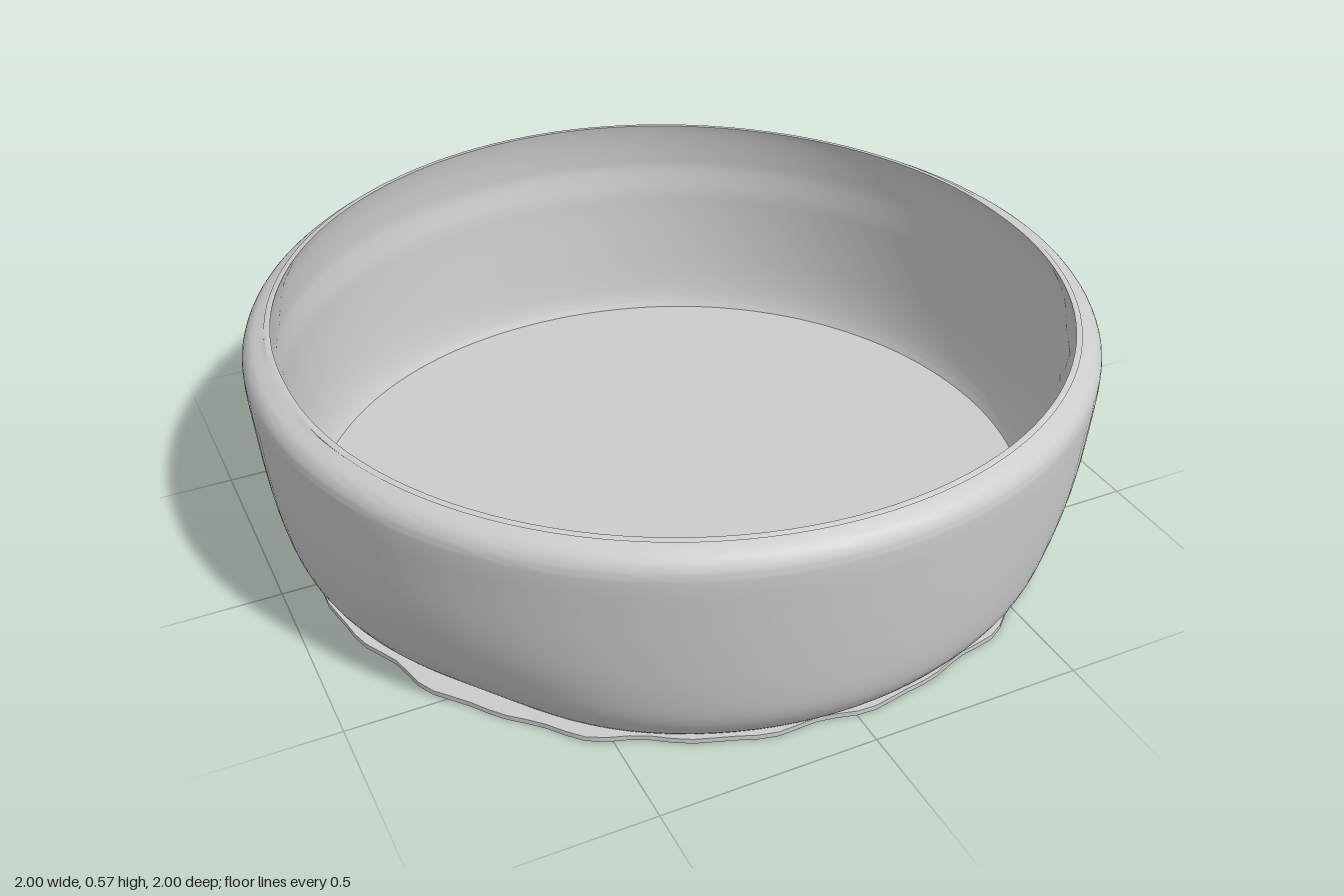
import * as THREE from 'three';
import { mergeVertices, toCreasedNormals } from 'three/addons/utils/BufferGeometryUtils.js';

const material = new THREE.MeshStandardMaterial({ color: 0xcccccc, side: THREE.DoubleSide });
const bump = (d, width) => Math.exp(-((d / width) ** 2));

// Lathe a profile, then push every vertex by a rule: (angle from front, height, radius) -> [radius, height]
function turned(name, profile, crease, rule) {
  let geo = new THREE.LatheGeometry(profile.map(([r, y]) => new THREE.Vector2(r, y)), 128);
  geo.deleteAttribute('normal');
  geo.deleteAttribute('uv');
  const p = geo.attributes.position;
  for (let i = 0; i < p.count; i++) {
    const r = Math.hypot(p.getX(i), p.getZ(i));
    const a = Math.atan2(p.getX(i), p.getZ(i));
    const [r2, y2] = rule(a, p.getY(i), r);
    p.setXYZ(i, Math.sin(a) * r2, y2, Math.cos(a) * r2);
  }
  geo = toCreasedNormals(mergeVertices(geo, 1e-5), crease);
  const mesh = new THREE.Mesh(geo, material);
  mesh.name = name;
  return mesh;
}

// Smooth curve through a few profile points
function smooth(points, n) {
  const curve = new THREE.CatmullRomCurve3(points.map(([r, y]) => new THREE.Vector3(r, y, 0)), false, 'centripetal');
  return curve.getPoints(n).map((v) => [v.x, v.y]);
}

export function createModel() {
  const group = new THREE.Group();
  group.name = 'roundBowl';

  // Wall: outside upwards, rounded shoulder, top edge, inside downwards
  const outside = smooth([
    [0.895, 0.01], [0.912, 0.03], [0.948, 0.09], [0.97, 0.18], [0.984, 0.29],
    [0.993, 0.4], [0.998, 0.48], [0.996, 0.51], [0.98, 0.536], [0.95, 0.552], [0.935, 0.558],
  ], 36);
  const inside = smooth([
    [0.925, 0.558], [0.931, 0.53], [0.938, 0.42], [0.937, 0.25], [0.925, 0.12], [0.905, 0.04], [0.89, 0.01],
  ], 24);
  group.add(turned('wall', [...outside, ...inside], 0.9, (a, y, r) => {
    const low = bump(y - 0.05, 0.13);
    const back = bump(Math.abs(a) - Math.PI, 0.6);
    // Two dents low on the front diagonals
    const dent = 0.034 * bump(Math.abs(a) - 0.92, 0.26) * low;
    // The back wall leans out more, and its rim is slightly wider and higher
    const lean = 0.022 * back * bump(y - 0.14, 0.2);
    const rim = r < 0.94 && y > 0.4 ? 0.015 * Math.abs(Math.cos(a)) : 0;
    const front = 0.01 * bump(a, 0.5) * low;
    return [r - dent - lean + rim + front, y + (y > 0.54 ? 0.008 * back : 0)];
  }));

  // Thin flat floor with a slightly uneven edge
  group.add(turned('floor', [[0, 0], [0.915, 0], [0.915, 0.012], [0, 0.012]], 0.5, (a, y, r) => {
    const ripple = 0.006 * Math.sin(a * 17) + 0.005 * Math.sin(a * 29 + 1);
    return [r > 0.5 ? r + ripple : r, y];
  }));
  return group;
}
